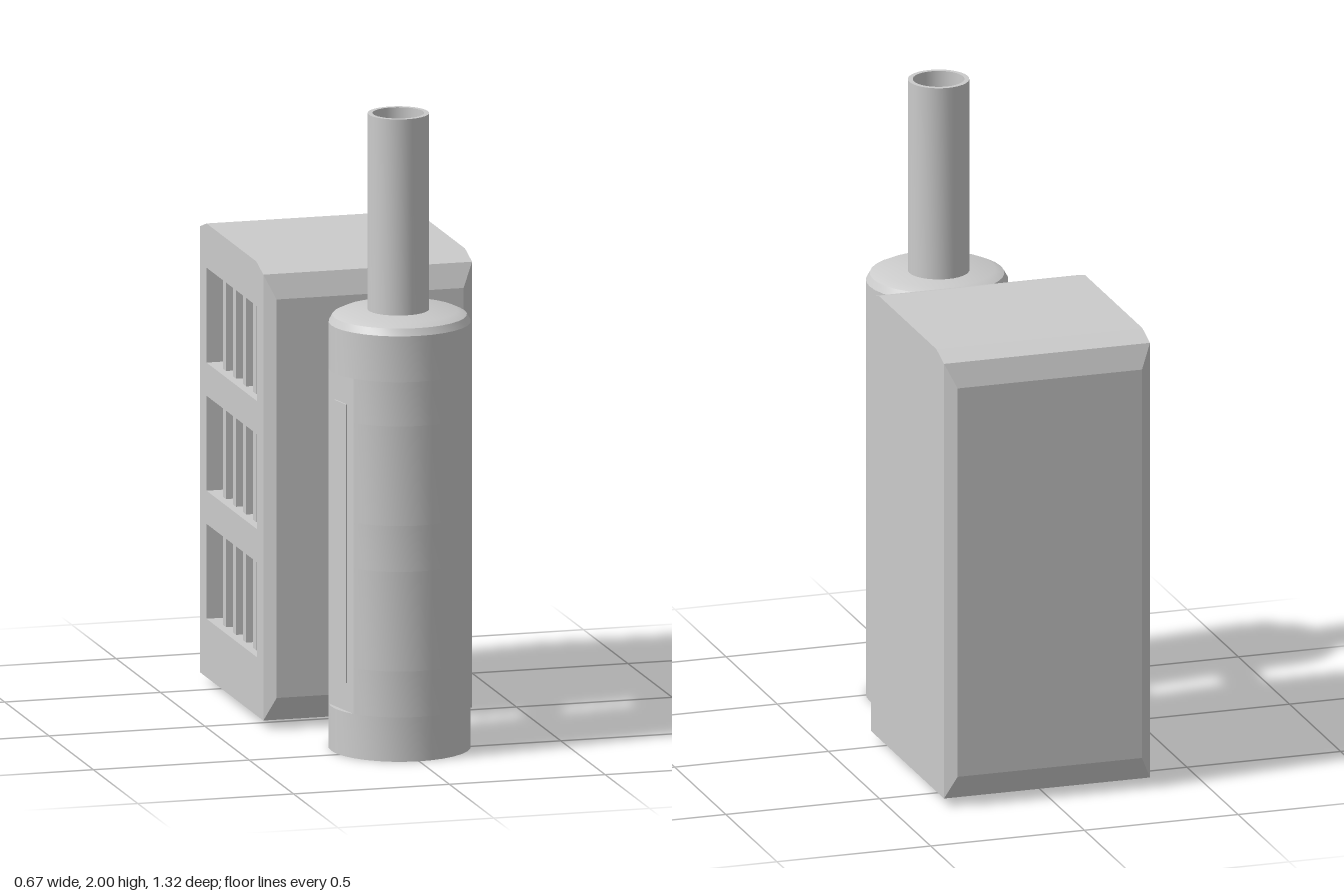
import * as THREE from 'three';
import { toCreasedNormals } from 'three/addons/utils/BufferGeometryUtils.js';

const material = new THREE.MeshStandardMaterial({ color: 0xcccccc });
const SIDES = 32, R = 0.22, TANK_Z = 0.44;

function add(parent, name, geometry, x = 0, y = 0, z = 0) {
  const mesh = new THREE.Mesh(geometry, material);
  mesh.name = name;
  mesh.position.set(x, y, z);
  parent.add(mesh);
  return mesh;
}

const shapeOf = (points) => new THREE.Shape(points.map(([x, y]) => new THREE.Vector2(x, y)));

// Side profile given in (z, y), extruded from x towards -x
function sideSlab(shape, x, depth) {
  const g = new THREE.ExtrudeGeometry(shape, { depth, bevelEnabled: false });
  return g.rotateY(-Math.PI / 2).translate(x, 0, 0);
}

// Horizontal slice of the tank; skipped vertices leave flat cuts
function tankBand(y0, y1, skipped) {
  const points = [];
  for (let i = 0; i < SIDES; i++) {
    if (skipped.includes(i)) continue;
    const t = (i / SIDES) * Math.PI * 2;
    points.push([R * Math.cos(t), R * Math.sin(t)]);
  }
  const g = new THREE.ExtrudeGeometry(shapeOf(points), { depth: y1 - y0, bevelEnabled: false });
  g.rotateX(-Math.PI / 2).translate(0, y0, 0);
  return toCreasedNormals(g, 0.3);
}

function lathe(points, crease) {
  const g = new THREE.LatheGeometry(points.map(([r, y]) => new THREE.Vector2(r, y)), SIDES);
  return toCreasedNormals(g, crease);
}

// Shallow raised panel closing one end of the cabinet, sides sloping inwards
function endPanel(sign) {
  const g = new THREE.BoxGeometry(0.67, 1.41, 0.027);
  const p = g.attributes.position;
  for (let i = 0; i < p.count; i++) {
    if (p.getZ(i) * sign > 0) {
      p.setX(i, Math.sign(p.getX(i)) * 0.3);
      p.setY(i, Math.sign(p.getY(i)) * 0.63);
    }
  }
  const flat = g.toNonIndexed();
  flat.computeVertexNormals();
  return flat;
}

function createCabinet() {
  const cabinet = new THREE.Group();
  cabinet.name = 'cabinet';
  const profile = [[0.08, 0.025], [0.08, 1.435], [0, 1.46], [-0.56, 1.46], [-0.635, 1.435], [-0.635, 0.025]];
  add(cabinet, 'cabinetBody', sideSlab(shapeOf(profile), 0.335, 0.6));

  // Grille side with three openings
  const z0 = -0.56, z1 = 0.01, height = 0.3, centres = [0.36, 0.765, 1.17];
  const face = shapeOf(profile);
  for (const c of centres) {
    const lo = c - height / 2, hi = c + height / 2;
    face.holes.push(new THREE.Path([[z0, lo], [z1, lo], [z1, hi], [z0, hi]].map(([a, b]) => new THREE.Vector2(a, b))));
  }
  add(cabinet, 'grilleFace', sideSlab(face, -0.265, 0.07));

  // Upright bars inside each opening
  for (const c of centres) {
    for (let i = 1; i <= 4; i++) {
      const z = z0 + ((z1 - z0) * i) / 5;
      add(cabinet, 'grilleBar', new THREE.BoxGeometry(0.03, height, 0.035), -0.295, c, z);
    }
  }

  add(cabinet, 'frontPanel', endPanel(1), 0, 0.73, 0.0935);
  add(cabinet, 'backPanel', endPanel(-1), 0, 0.73, -0.6485);
  return cabinet;
}

function createTank() {
  const tank = new THREE.Group();
  tank.name = 'tank';
  tank.position.z = TANK_Z;

  // Flat cuts: one long on the side, three short at the pipe joints
  const side = [16, 17, 18], back = [7, 8, 9];
  const levels = [0, 0.14, 0.285, 0.6, 0.745, 1.06, 1.2, 1.345];
  for (let i = 0; i < levels.length - 1; i++) {
    const skipped = [];
    if (i > 0 && i < 6) skipped.push(...side);
    if (i % 2 === 1) skipped.push(...back);
    add(tank, 'tankBody', tankBand(levels[i], levels[i + 1], skipped));
  }
  add(tank, 'tankShoulder', lathe([[R, 1.345], [0.208, 1.367], [0.18, 1.38], [0, 1.38]], 0.5));

  // Raised gauge strip in the side cut
  const angle = Math.PI * (1 + 1 / 16);
  const gauge = add(tank, 'gaugeStrip', new THREE.BoxGeometry(0.012, 0.88, 0.082),
    0.202 * Math.cos(angle), 0.67, -0.202 * Math.sin(angle));
  gauge.rotation.y = angle;

  // Hollow chimney
  add(tank, 'chimney', lathe([[0.095, 1.37], [0.095, 2], [0.08, 2], [0.08, 1.4], [0, 1.4]], 0.5), 0, 0, -0.015);
  return tank;
}

export function createModel() {
  const model = new THREE.Group();
  model.name = 'boiler';
  model.add(createCabinet(), createTank());
  // Square ducts joining tank and cabinet
  for (const y of [0.215, 0.675, 1.133]) {
    add(model, 'connectingDuct', new THREE.BoxGeometry(0.08, 0.07, 0.16), 0, y, 0.175);
  }
  return model;
}
